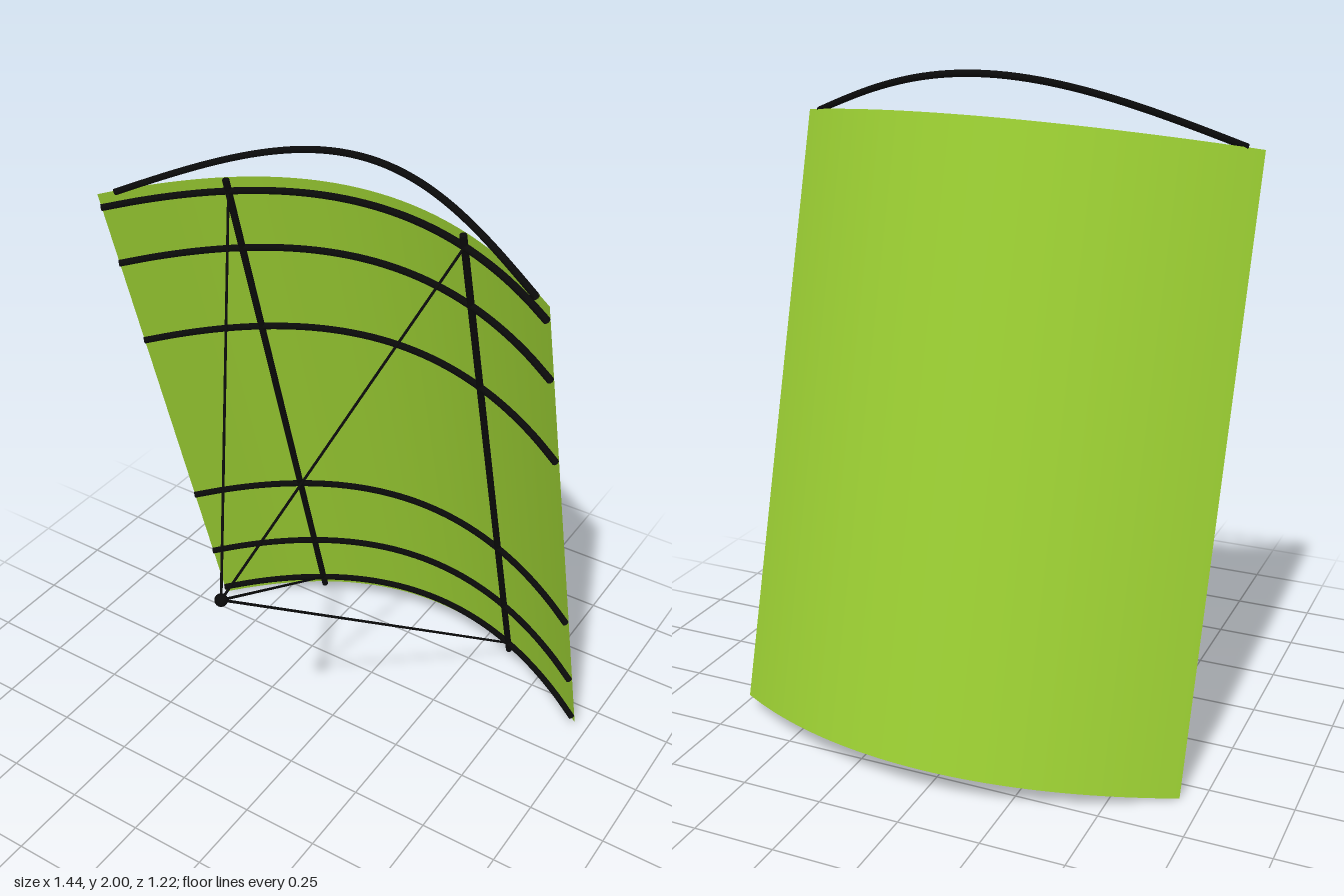
import * as THREE from 'three';

const HALF = 0.7025, LENGTH = 1.842, ARCH = 0.268, ROD = 0.0105;

// Leaning frame of the kite: across, along and out of the sail
const across = new THREE.Vector3(1.404, 0.045, -0.05).normalize();
const along = new THREE.Vector3(-0.04, 1.787, 0.445).normalize();
const out = new THREE.Vector3().crossVectors(across, along).normalize();
const base = new THREE.Vector3(0.0175, 0.0275, -0.35);

// Point on the arched sail: u from -1 to 1 across, v from 0 to 1 upward
function onSail(u, v, lift = 0) {
  const slope = 2 * ARCH * u / HALF;
  const n = Math.hypot(1, slope);
  return base.clone()
    .addScaledVector(across, u * HALF - lift * slope / n)
    .addScaledVector(along, v * LENGTH)
    .addScaledVector(out, -ARCH * (1 - u * u) + lift / n);
}

export function createModel() {
  const kite = new THREE.Group();
  kite.name = 'kite';
  const sailGreen = new THREE.MeshStandardMaterial({ color: 0x9acd32, side: THREE.DoubleSide });
  sailGreen.name = 'sailGreen';
  const frameBlack = new THREE.MeshStandardMaterial({ color: 0x0a0a0a, side: THREE.DoubleSide });
  frameBlack.name = 'frameBlack';

  const add = (geometry, material, name) => {
    const mesh = new THREE.Mesh(geometry, material);
    mesh.name = name;
    kite.add(mesh);
    return mesh;
  };
  const curvedRod = (points, radius, name) =>
    add(new THREE.TubeGeometry(new THREE.CatmullRomCurve3(points), 48, radius, 8), frameBlack, name);
  const straightRod = (a, b, radius, name) => {
    const rod = add(new THREE.CylinderGeometry(radius, radius, a.distanceTo(b), 8), frameBlack, name);
    rod.position.lerpVectors(a, b, 0.5);
    rod.quaternion.setFromUnitVectors(new THREE.Vector3(0, 1, 0), b.clone().sub(a).normalize());
  };

  // Sail: a plane bent into an arch
  const sail = new THREE.PlaneGeometry(2, 1, 48, 1);
  const pos = sail.attributes.position;
  for (let i = 0; i < pos.count; i++) {
    const p = onSail(pos.getX(i), pos.getY(i) + 0.5);
    pos.setXYZ(i, p.x, p.y, p.z);
  }
  sail.computeVertexNormals();
  add(sail, sailGreen, 'sail');

  // Bent cross ribs on the front face
  [0.022, 0.137, 0.3025, 0.6975, 0.866, 0.978].forEach((v) => {
    const points = [];
    for (let i = 0; i <= 16; i++) points.push(onSail(-1 + i / 8, v, ROD));
    curvedRod(points, ROD, 'crossRib');
  });

  // Two long spars, and the bridle lines from their ends to the knot
  const knot = new THREE.Vector3(0.02, 0.96, 0.595);
  for (const u of [-0.54, 0.54]) {
    straightRod(onSail(u, 0, ROD), onSail(u, 1, ROD), ROD, 'spar');
    for (const v of [0.022, 0.978]) straightRod(onSail(u, v, ROD), knot, 0.004, 'bridleLine');
  }
  add(new THREE.SphereGeometry(0.019, 16, 12), frameBlack, 'bridleKnot').position.copy(knot);

  // Bow arching up and back above the top edge
  const left = new THREE.Vector3(-0.68, 1.8, 0.095), right = new THREE.Vector3(0.633, 1.84, 0.05);
  const rise = new THREE.Vector3(0, 0.17, -0.205);
  const bow = [];
  for (let i = 0; i <= 16; i++) {
    const t = i / 16;
    bow.push(left.clone().lerp(right, t).addScaledVector(rise, Math.sin(Math.PI * t)));
  }
  curvedRod(bow, 0.01, 'topBow');

  return kite;
}
